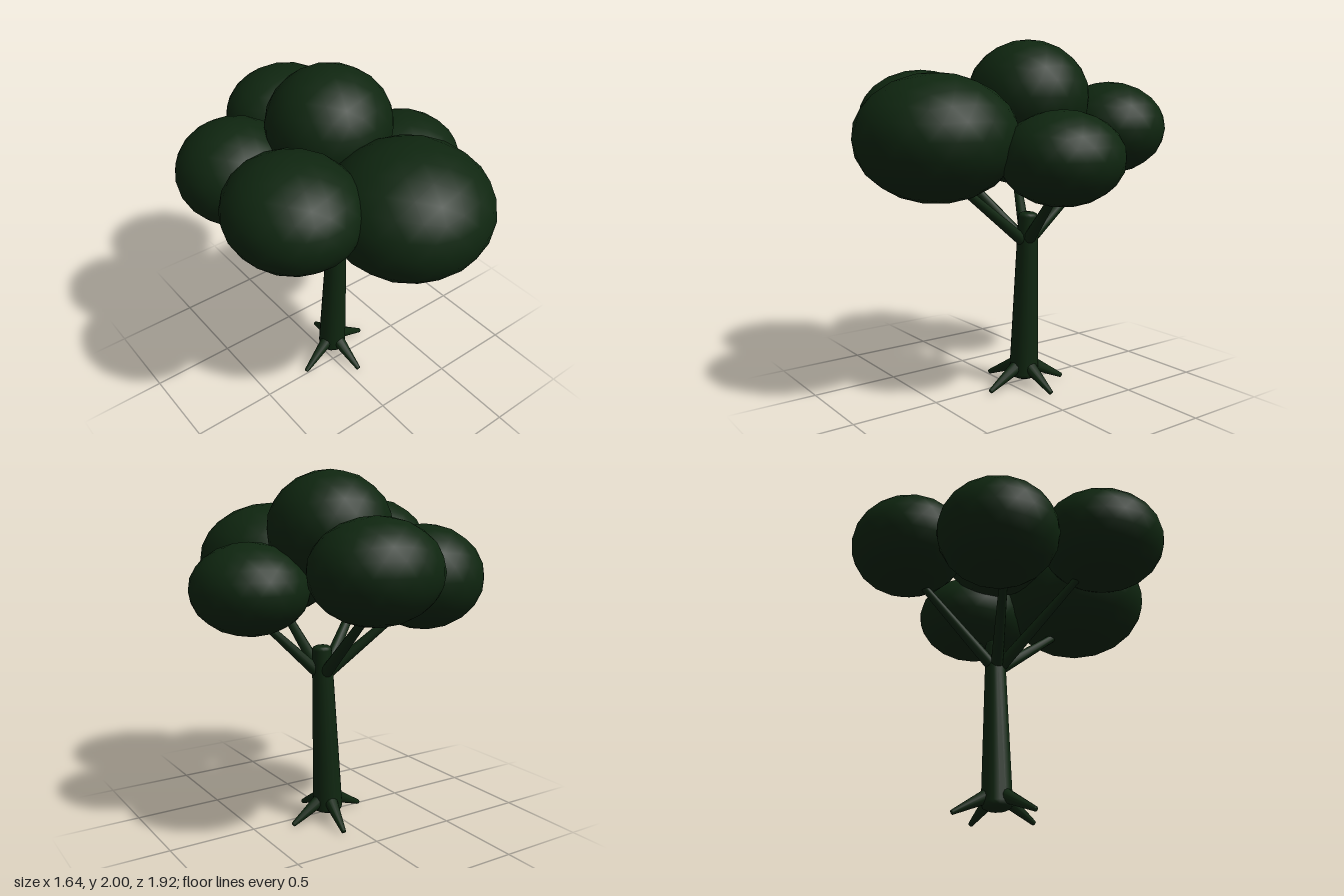
import * as THREE from 'three';

const V = (p) => new THREE.Vector3(...p);

export function createModel() {
  const tree = new THREE.Group();
  tree.name = 'tree';
  const green = new THREE.MeshStandardMaterial({ color: 0x0f2610 });
  green.name = 'dark green';

  const add = (name, geometry) => {
    const mesh = new THREE.Mesh(geometry, green);
    mesh.name = name;
    tree.add(mesh);
    return mesh;
  };

  // Tapered limb with rounded ends, running from one point to another
  const limb = (name, from, to, r0, r1, sides = 12) => {
    const a = V(from), b = V(to);
    const length = a.distanceTo(b);
    const profile = [
      [0, 0], [r0 * 0.65, r0 * 0.06], [r0 * 0.92, r0 * 0.2], [r0, r0 * 0.45],
      [r1, length - r1 * 0.45], [r1 * 0.92, length - r1 * 0.2], [r1 * 0.65, length - r1 * 0.06], [0, length],
    ].map(([r, y]) => new THREE.Vector2(r, y));
    const mesh = add(name, new THREE.LatheGeometry(profile, sides));
    mesh.position.copy(a);
    mesh.quaternion.setFromUnitVectors(new THREE.Vector3(0, 1, 0), b.sub(a).normalize());
  };

  // Trunk, leaning slightly
  limb('trunk', [0.05, 0.04, -0.077], [0.09, 1.035, -0.075], 0.086, 0.056, 16);

  // Branches fanning out into the foliage
  const branches = {
    rightBranch: [-0.38, 1.3, -0.32],
    frontRightBranch: [-0.4, 1.36, 0.2],
    leftBranch: [0.46, 1.22, 0.0],
    frontBranch: [0.1, 1.28, 0.48],
    backBranch: [0.12, 1.33, -0.62],
  };
  for (const [name, tip] of Object.entries(branches)) {
    limb(name, [0.08, 0.85, -0.07], tip, 0.036, 0.02);
  }

  // Roots
  const roots = {
    rightRoot: [-0.21, 0.008, -0.01],
    leftRoot: [0.295, 0.008, -0.09],
    frontRoot: [0.07, 0.008, 0.18],
    backRoot: [0.1, 0.008, -0.325],
  };
  for (const [name, tip] of Object.entries(roots)) {
    limb(name, [0.055, 0.145, -0.075], tip, 0.045, 0.014);
  }

  // Foliage clumps: centre and radii
  const clump = new THREE.IcosahedronGeometry(1, 3);
  clump.rotateZ(Math.atan(2 / (1 + Math.sqrt(5))));
  const foliage = {
    topFoliage: [[0.05, 1.68, -0.1], [0.35, 0.32, 0.345]],
    frontFoliage: [[0.08, 1.47, 0.52], [0.435, 0.34, 0.44]],
    backFoliage: [[0.13, 1.5, -0.645], [0.355, 0.272, 0.32]],
    leftFoliage: [[0.49, 1.368, 0.01], [0.325, 0.253, 0.34]],
    frontRightFoliage: [[-0.472, 1.56, 0.29], [0.35, 0.28, 0.37]],
    backRightFoliage: [[-0.385, 1.42, -0.37], [0.335, 0.29, 0.335]],
  };
  for (const [name, [centre, radii]] of Object.entries(foliage)) {
    const mesh = add(name, clump);
    mesh.position.set(...centre);
    mesh.scale.set(...radii);
  }

  return tree;
}
